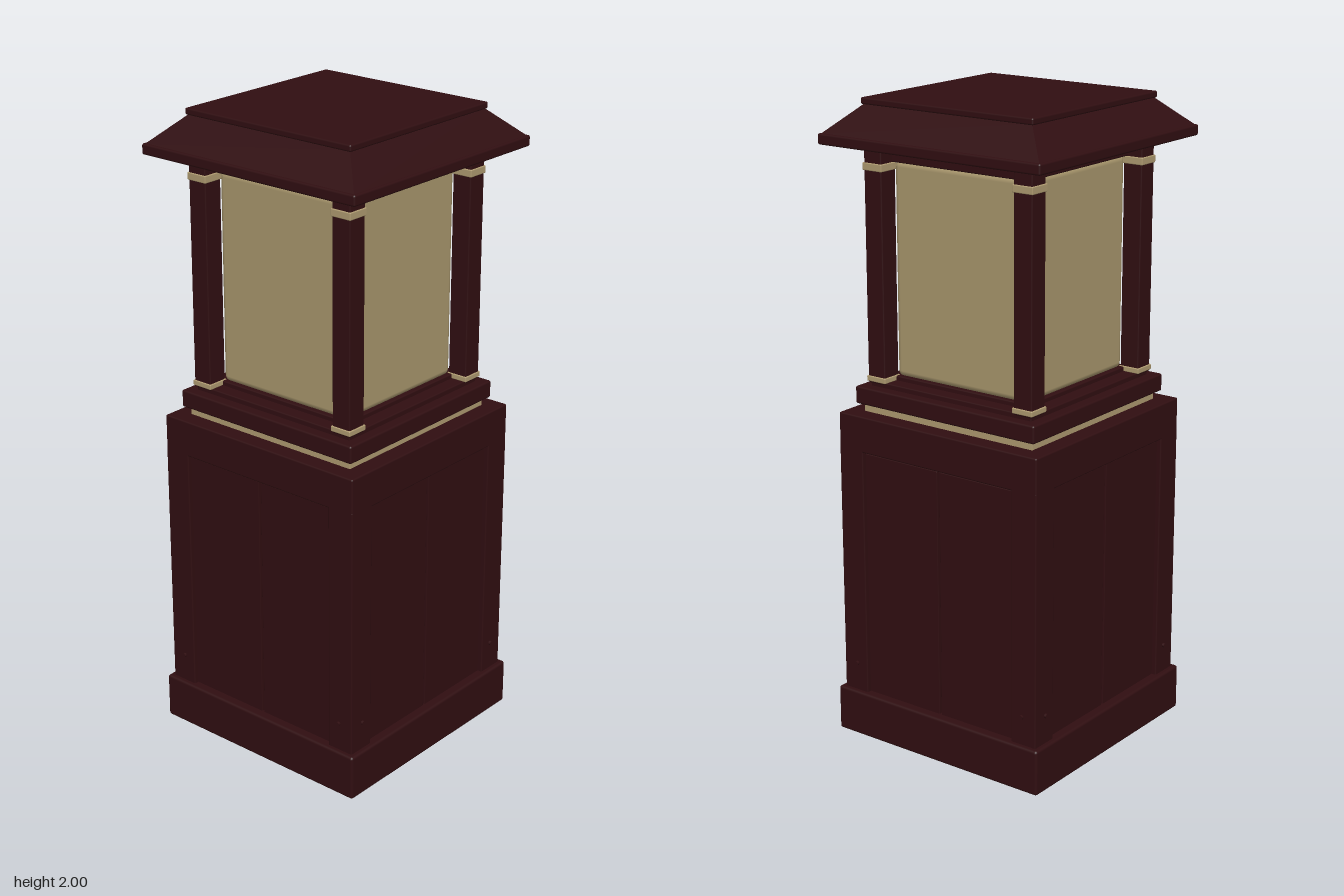
import * as THREE from 'three';
import { RoundedBoxGeometry } from 'three/addons/geometries/RoundedBoxGeometry.js';

const wood = new THREE.MeshStandardMaterial({ color: 0x300e11 });
wood.name = 'darkRedWood';
const brass = new THREE.MeshStandardMaterial({ color: 0xae9a70 });
brass.name = 'paleBrass';
const paper = new THREE.MeshStandardMaterial({ color: 0xa8966c });
paper.name = 'lampPaper';

// Softly edged box from its x/z centre, widths and bottom/top heights
function block(parent, name, mat, w, d, y0, y1, x = 0, z = 0, r = 0.004) {
  const mesh = new THREE.Mesh(new RoundedBoxGeometry(w, y1 - y0, d, 2, r), mat);
  mesh.position.set(x, (y0 + y1) / 2, z);
  mesh.name = name;
  parent.add(mesh);
  return mesh;
}

// Square tapered block with flat sides
function taper(parent, name, mat, bottomHalf, topHalf, y0, y1) {
  const s = Math.SQRT2;
  const geo = new THREE.CylinderGeometry(topHalf * s, bottomHalf * s, y1 - y0, 4)
    .rotateY(Math.PI / 4).toNonIndexed();
  geo.computeVertexNormals();
  const mesh = new THREE.Mesh(geo, mat);
  mesh.position.y = (y0 + y1) / 2;
  mesh.name = name;
  parent.add(mesh);
}

export function createModel() {
  const model = new THREE.Group();
  model.name = 'pedestalLantern';

  // Cabinet: plinth, inner floor, solid top
  block(model, 'plinth', wood, 0.772, 0.772, 0, 0.145, 0, 0, 0.008);
  block(model, 'cabinetFloor', wood, 0.68, 0.68, 0.13, 0.17);
  block(model, 'cabinetTop', wood, 0.74, 0.74, 0.936, 1.05, 0, 0, 0.005);

  // Corner pieces of the cabinet and of the lantern
  for (const sx of [-1, 1]) {
    for (const sz of [-1, 1]) {
      block(model, 'cabinetCorner', wood, 0.09, 0.09, 0.14, 0.945, sx * 0.325, sz * 0.325);
      block(model, 'lanternPost', wood, 0.065, 0.065, 1.14, 1.87, sx * 0.273, sz * 0.273);
      block(model, 'lowerCollar', brass, 0.072, 0.072, 1.145, 1.162, sx * 0.273, sz * 0.273, 0.003);
      block(model, 'upperCollar', brass, 0.072, 0.072, 1.787, 1.81, sx * 0.273, sz * 0.273, 0.003);
    }
  }

  // Four sides: a pair of recessed panels with narrow gaps, and small pegs
  for (let i = 0; i < 4; i++) {
    const side = new THREE.Group();
    side.name = 'cabinetSide';
    side.rotation.y = i * Math.PI / 2;
    for (const s of [-1, 1]) {
      block(side, 'doorPanel', wood, 0.278, 0.02, 0.14, 0.93, s * 0.143, 0.345, 0.002);
      const peg = new THREE.Mesh(new THREE.CylinderGeometry(0.007, 0.007, 0.014, 12), wood);
      peg.name = 'peg';
      peg.rotation.x = Math.PI / 2;
      peg.position.set(s * 0.32, 0.235, 0.37);
      side.add(peg);
    }
    model.add(side);
  }

  // Stepped base of the lantern
  block(model, 'brassStrip', brass, 0.63, 0.63, 1.045, 1.08, 0, 0, 0.002);
  block(model, 'lanternTray', wood, 0.668, 0.668, 1.075, 1.13, 0, 0, 0.006);
  block(model, 'lanternSill', wood, 0.6, 0.6, 1.125, 1.146);

  // Glowing shade between lower and upper rails
  block(model, 'lowerRail', wood, 0.51, 0.51, 1.14, 1.16);
  block(model, 'lampShade', paper, 0.49, 0.49, 1.155, 1.815, 0, 0, 0.02);
  block(model, 'upperRail', wood, 0.51, 0.51, 1.81, 1.845);

  // Roof: eave, slope, flat cap
  block(model, 'eave', wood, 0.8, 0.8, 1.865, 1.898, 0, 0, 0.006);
  taper(model, 'roofSlope', wood, 0.393, 0.3, 1.896, 1.983);
  block(model, 'roofCap', wood, 0.62, 0.62, 1.98, 2, 0, 0, 0.005);

  return model;
}
